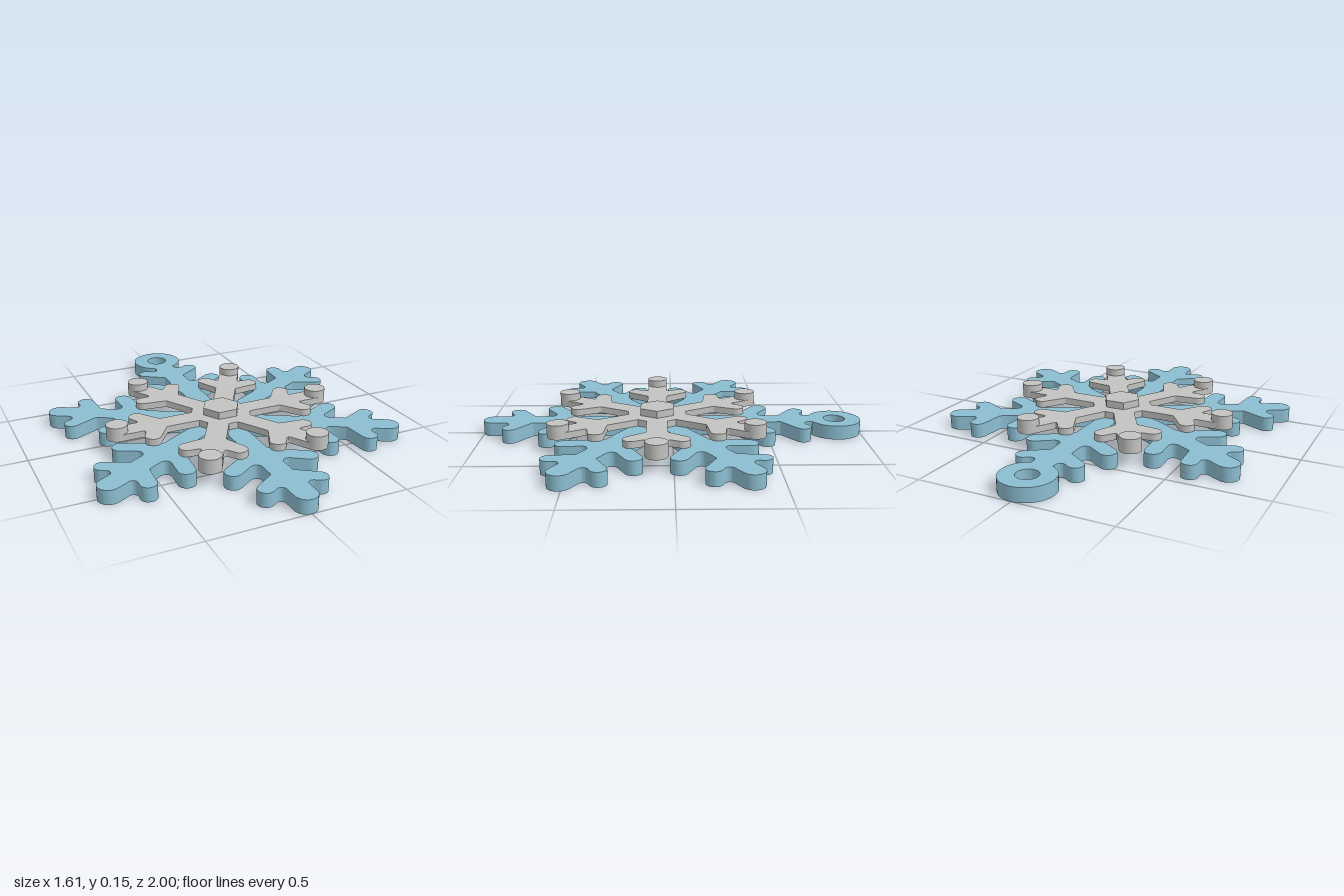
import * as THREE from 'three';
import { toCreasedNormals } from 'three/addons/utils/BufferGeometryUtils.js';

const blue = new THREE.MeshStandardMaterial({ color: 0x8bbdd0 });
blue.name = 'ice blue';
const grey = new THREE.MeshStandardMaterial({ color: 0xc2c2c0 });
grey.name = 'light grey';

const V = (x, y) => new THREE.Vector2(x, y);
const BASE_TOP = 0.073, RELIEF_TOP = 0.108, STUD_TOP = 0.146;

// Closed shape whose corners [point, radius] are replaced by tangent arcs
function roundedShape(corners) {
  const pts = [];
  corners.forEach(([p, r], i) => {
    if (!r) { pts.push(p); return; }
    const a = corners.at(i - 1)[0].clone().sub(p).normalize();
    const b = corners[(i + 1) % corners.length][0].clone().sub(p).normalize();
    const half = Math.acos(THREE.MathUtils.clamp(a.dot(b), -1, 1)) / 2;
    const centre = a.clone().add(b).normalize().multiplyScalar(r / Math.sin(half)).add(p);
    const reach = r / Math.tan(half);
    const from = a.clone().multiplyScalar(reach).add(p).sub(centre).angle();
    const to = b.clone().multiplyScalar(reach).add(p).sub(centre).angle();
    const sweep = Math.atan2(Math.sin(to - from), Math.cos(to - from));
    for (let k = 0; k <= 8; k++) {
      const t = from + sweep * k / 8;
      pts.push(V(centre.x + r * Math.cos(t), centre.y + r * Math.sin(t)));
    }
  });
  return new THREE.Shape(pts);
}

// Half of one arm along +x: hub corner, side branches, then the tip
function halfArm({ w, hub, length, branches }) {
  const out = [[V(hub, w), 0]];
  for (const { u, v, r, angle, flare, fillet } of branches) {
    const d = V(Math.cos(angle), Math.sin(angle)), n = V(d.y, -d.x);
    const root = (s) => {
      const e = V(u, v).addScaledVector(n, s * r);
      return V(e.x - (e.y - w) * d.x / d.y + s * flare, w);
    };
    const end = (s) => V(u, v).addScaledVector(n, s * r).addScaledVector(d, r);
    out.push([root(-1), 0.01], [end(-1), r * 0.98], [end(1), r * 0.98], [root(1), fillet]);
  }
  out.push([V(length, w), w * 0.98]);
  return out;
}

// Six arms joined into a single outline
function snowflake(spec, startAngle, lengths = {}) {
  const corners = [];
  for (let i = 0; i < 6; i++) {
    const half = halfArm({ ...spec, length: lengths[i] ?? spec.length });
    const mirrored = half.map(([p, r]) => [V(p.x, -p.y), r]);
    const turn = startAngle + i * Math.PI / 3;
    for (const [p, r] of [...mirrored, ...half.reverse()]) {
      corners.push([p.clone().rotateAround(V(0, 0), turn), r]);
    }
  }
  return roundedShape(corners);
}

// Flat plate lying between two heights
function plate(name, shape, y0, y1, material) {
  const geo = new THREE.ExtrudeGeometry(shape, { depth: y1 - y0, bevelEnabled: false, curveSegments: 24 });
  geo.rotateX(-Math.PI / 2);
  geo.translate(0, y0, 0);
  const mesh = new THREE.Mesh(toCreasedNormals(geo, 0.6), material);
  mesh.name = name;
  return mesh;
}

export function createModel() {
  const group = new THREE.Group();
  group.name = 'snowflakeOrnament';
  const deg = Math.PI / 180;

  // Large base flake; the arm at the back is shortened to meet the ring
  const base = snowflake({
    w: 0.057, hub: 0.105, length: 0.92,
    branches: [
      { u: 0.56, v: 0.2, r: 0.044, angle: 56 * deg, flare: 0, fillet: 0.03 },
      { u: 0.757, v: 0.138, r: 0.041, angle: 56 * deg, flare: 0, fillet: 0.025 },
    ],
  }, Math.PI / 6, { 1: 0.86 });
  group.add(plate('baseFlake', base, 0, BASE_TOP, blue));

  // Hanging ring
  const ring = new THREE.Shape().absarc(0, 0.945, 0.137, 0, Math.PI * 2);
  ring.holes.push(new THREE.Path().absarc(0, 0.945, 0.056, 0, Math.PI * 2, true));
  group.add(plate('hangingRing', ring, 0, BASE_TOP, blue));

  // Smaller raised flake, turned between the base arms
  const relief = snowflake({
    w: 0.054, hub: 0.145, length: 0.62,
    branches: [{ u: 0.423, v: 0.127, r: 0.037, angle: 58 * deg, flare: 0.012, fillet: 0.01 }],
  }, 0);
  group.add(plate('raisedFlake', relief, BASE_TOP, RELIEF_TOP, grey));

  // Round stud at each raised arm tip
  for (let i = 0; i < 6; i++) {
    const a = i * Math.PI / 3;
    const h = STUD_TOP - BASE_TOP;
    const stud = new THREE.Mesh(new THREE.CylinderGeometry(0.055, 0.055, h, 32), grey);
    stud.position.set(0.567 * Math.cos(a), BASE_TOP + h / 2, 0.567 * Math.sin(a));
    stud.name = 'tipStud';
    group.add(stud);
  }

  // Hexagonal boss in the middle
  const hex = new THREE.Shape(Array.from({ length: 6 }, (_, i) =>
    V(0.1 * Math.cos(i * Math.PI / 3), 0.1 * Math.sin(i * Math.PI / 3))));
  group.add(plate('centreBoss', hex, RELIEF_TOP, STUD_TOP, grey));

  // Shift the flake centre so ring and front tip are balanced about z = 0
  group.children.forEach((m) => { m.position.z += 0.081; });
  return group;
}
